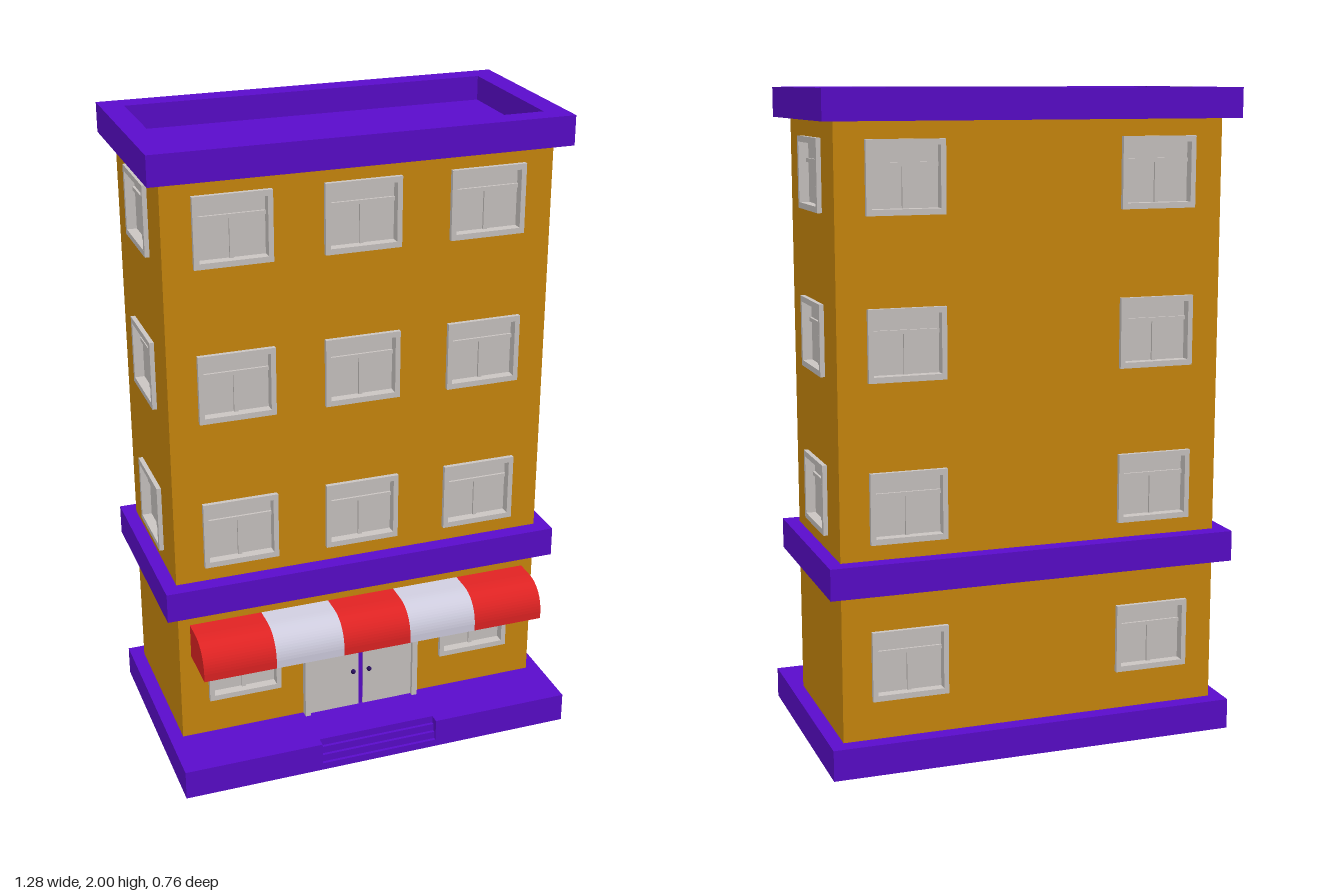
import * as THREE from 'three';

const mat = (name, color, side = THREE.FrontSide) => {
  const m = new THREE.MeshStandardMaterial({ color, side });
  m.name = name;
  return m;
};

export function createModel() {
  const purple = mat('purple trim', 0x5a0bcb);
  const ochre = mat('ochre wall', 0xcb880d);
  const grey = mat('grey joinery', 0xcac5c2);
  const red = mat('red awning', 0xe02323);
  const white = mat('white awning', 0xd0cee0);
  const dark = mat('dark handle', 0x2a1060);

  const model = new THREE.Group();
  model.name = 'building';

  const add = (parent, name, geometry, material, x = 0, y = 0, z = 0) => {
    const mesh = new THREE.Mesh(geometry, material);
    mesh.name = name;
    mesh.position.set(x, y, z);
    parent.add(mesh);
    return mesh;
  };
  const box = (parent, name, material, w, h, d, x, y, z) =>
    add(parent, name, new THREE.BoxGeometry(w, h, d), material, x, y, z);
  const rect = (w, h, x = 0, y = 0, Type = THREE.Shape) => new Type([
    [-w, -h], [w, -h], [w, h], [-w, h],
  ].map(([a, b]) => new THREE.Vector2(x + a / 2, y + b / 2)));
  const frameGeometry = (w, h, iw, ih, depth) => {
    const shape = rect(w, h);
    shape.holes.push(rect(iw, ih, 0, 0, THREE.Path));
    return new THREE.ExtrudeGeometry(shape, { depth, bevelEnabled: false });
  };

  // Plinth in thin layers, each notched further back to form the steps
  const layer = 0.095 / 4;
  for (let i = 0; i < 4; i++) {
    const n = 0.38 - 0.01 * i;
    const points = [[-0.64, -0.38], [-0.64, 0.38]];
    if (i) points.push([-0.195, 0.38], [-0.195, n], [0.19, n], [0.19, 0.38]);
    points.push([0.64, 0.38], [0.64, -0.38]);
    // Shape y is -z, so the extrusion rises after the turn
    const shape = new THREE.Shape(points.map(([x, z]) => new THREE.Vector2(x, -z)));
    const g = new THREE.ExtrudeGeometry(shape, { depth: layer, bevelEnabled: false });
    g.rotateX(-Math.PI / 2);
    add(model, 'plinthStep' + i, g, purple, 0, i * layer, 0);
  }

  // Belt course and hollow roof parapet
  box(model, 'beltCourse', purple, 1.28, 0.095, 0.62, 0, 0.5975, -0.07);
  const parapet = frameGeometry(1.28, 0.62, 1.14, 0.475, 0.09).rotateX(-Math.PI / 2);
  add(model, 'parapet', parapet, purple, 0, 1.91, -0.07);
  box(model, 'roofFloor', purple, 1.16, 0.015, 0.5, 0, 1.9175, -0.07);

  // Window: a deep frame around a recessed pane with a transom and mullion
  const W = 0.235, H = 0.213;
  const windowFrame = frameGeometry(W, H, 0.204, 0.178, 0.04);
  const addWindow = (wall, x, y) => {
    const g = new THREE.Group();
    g.name = 'window';
    g.position.set(x, y, 0);
    add(g, 'windowFrame', windowFrame, grey, 0, 0, -0.026);
    box(g, 'pane', grey, 0.21, 0.184, 0.008, 0, 0, -0.02);
    box(g, 'transom', grey, 0.204, 0.012, 0.008, 0, 0.035, -0.013);
    box(g, 'mullion', grey, 0.012, 0.118, 0.008, 0, -0.03, -0.013);
    wall.add(g);
  };

  // Walls are flat sheets with window openings
  const addWall = (name, width, distance, angle, openings) => {
    const wall = new THREE.Group();
    wall.name = name;
    const shape = rect(width, 1.83, 0, 1.005);
    for (const [x, y] of openings) {
      shape.holes.push(rect(W - 0.006, H - 0.006, x, y, THREE.Path));
      addWindow(wall, x, y);
    }
    add(wall, name + 'Surface', new THREE.ShapeGeometry(shape), ochre);
    wall.position.set(Math.sin(angle) * distance, 0, Math.cos(angle) * distance - 0.07);
    wall.rotation.y = angle;
    model.add(wall);
    return wall;
  };
  const floors = [0.8, 1.277, 1.753];
  const ground = 0.322;
  const grid = (xs, ys) => ys.flatMap((y) => xs.map((x) => [x, y]));
  const front = addWall('frontWall', 1.194, 0.26, 0,
    [...grid([-0.39, 0, 0.39], floors), ...grid([-0.39, 0.39], [ground])]);
  addWall('backWall', 1.194, 0.26, Math.PI, grid([-0.39, 0.39], [ground, ...floors]));
  addWall('leftWall', 0.52, 0.597, Math.PI / 2, grid([0], floors));
  addWall('rightWall', 0.52, 0.597, -Math.PI / 2, grid([0], floors));

  // Double door with surround, centre strip and round handles
  const door = new THREE.Group();
  door.name = 'door';
  door.position.set(-0.003, 0.095, 0);
  front.add(door);
  box(door, 'doorLintel', grey, 0.385, 0.018, 0.025, 0, 0.326, 0.0125);
  box(door, 'doorGap', purple, 0.02, 0.317, 0.008, 0, 0.1585, 0.004);
  for (const s of [-1, 1]) {
    box(door, 'doorJamb', grey, 0.018, 0.317, 0.025, s * 0.1835, 0.1585, 0.0125);
    box(door, 'doorLeaf', grey, 0.167, 0.317, 0.012, s * 0.091, 0.1585, 0.006);
    add(door, 'doorHandle', new THREE.SphereGeometry(0.008, 12, 8), dark, s * 0.027, 0.13, 0.017);
  }

  // Striped awning with a rounded front
  const profile = new THREE.Shape();
  profile.moveTo(0, 0.385);
  profile.lineTo(0.155, 0.385);
  profile.lineTo(0.155, 0.41);
  profile.bezierCurveTo(0.152, 0.465, 0.115, 0.497, 0.06, 0.497);
  profile.lineTo(0, 0.497);
  profile.closePath();
  const edges = [-0.56, -0.33, -0.11, 0.11, 0.33, 0.56];
  for (let i = 0; i < 5; i++) {
    const g = new THREE.ExtrudeGeometry(profile,
      { depth: edges[i + 1] - edges[i], bevelEnabled: false, curveSegments: 16 });
    // Profile x points forward, extrusion runs towards -x
    g.rotateY(-Math.PI / 2);
    add(model, 'awningStripe' + i, g, i % 2 ? white : red, edges[i + 1], 0, 0.19);
  }
  return model;
}
